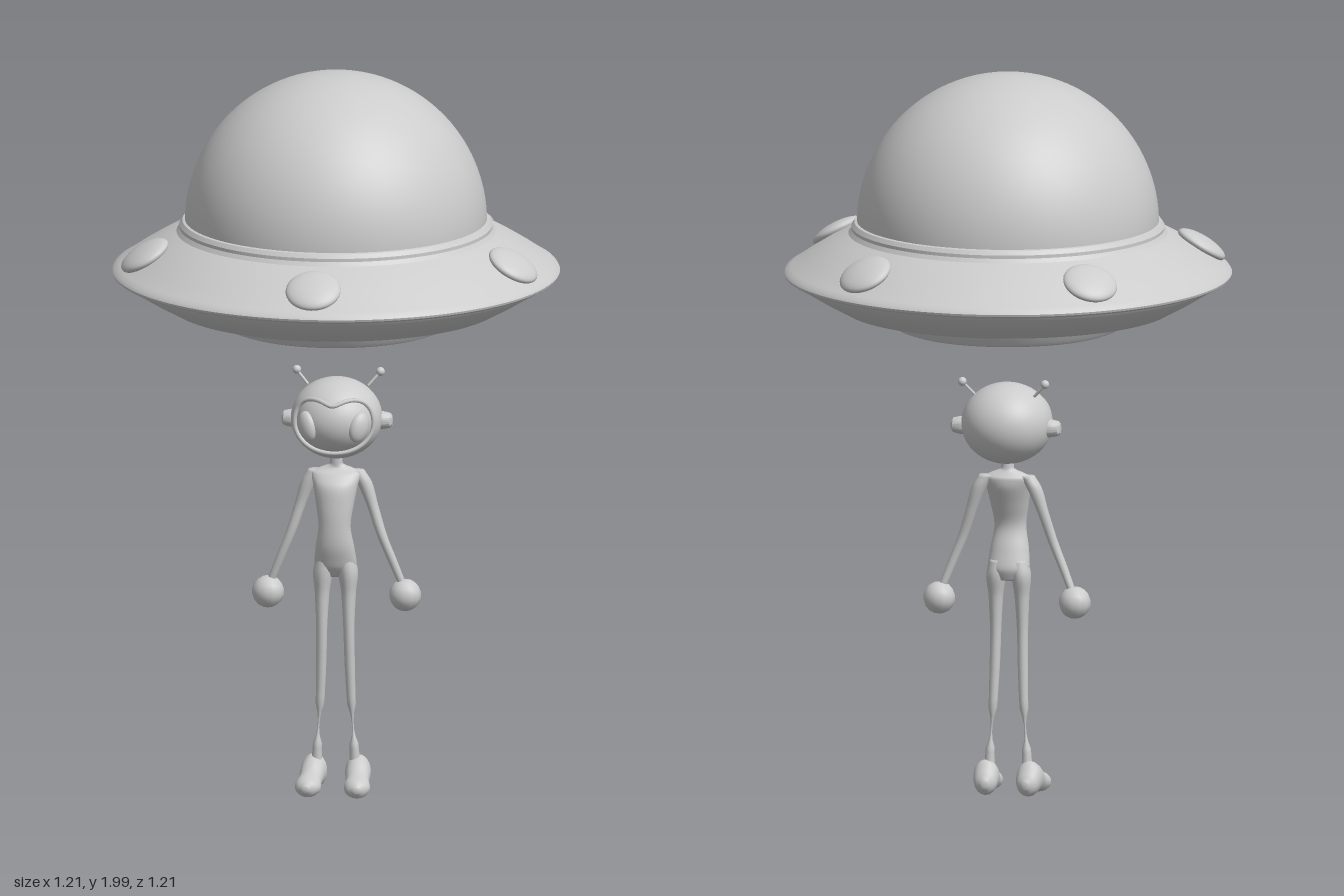
import * as THREE from 'three';
import { toCreasedNormals } from 'three/addons/utils/BufferGeometryUtils.js';

const grey = new THREE.MeshStandardMaterial({ color: 0xcccccc, side: THREE.DoubleSide });

function add(parent, name, geometry, x = 0, y = 0, z = 0) {
  const mesh = new THREE.Mesh(geometry, grey);
  mesh.name = name;
  mesh.position.set(x, y, z);
  parent.add(mesh);
  return mesh;
}

function lathe(points, segments = 96) {
  const profile = points.map(([r, y]) => new THREE.Vector2(r, y));
  return toCreasedNormals(new THREE.LatheGeometry(profile, segments), 0.5);
}

// Smooth skin over horizontal oval rings [x, y, z, halfWidth, halfDepth], listed upwards
function loft(rings, sides = 16, steps = 5) {
  const centres = new THREE.CatmullRomCurve3(rings.map(([x, y, z]) => new THREE.Vector3(x, y, z)));
  const radii = new THREE.CatmullRomCurve3(rings.map(r => new THREE.Vector3(r[3], r[4], 0)));
  const rows = (rings.length - 1) * steps;
  const pos = [], index = [];
  for (let i = 0; i <= rows; i++) {
    const c = centres.getPoint(i / rows), r = radii.getPoint(i / rows);
    for (let j = 0; j < sides; j++) {
      const a = j / sides * Math.PI * 2;
      pos.push(c.x + r.x * Math.sin(a), c.y, c.z + r.y * Math.cos(a));
      if (i === rows) continue;
      const p = i * sides + j, q = i * sides + (j + 1) % sides;
      index.push(p, q, q + sides, p, q + sides, p + sides);
    }
  }
  // End caps
  for (const [k, row] of [[0, 0], [rings.length - 1, rows]]) {
    const tip = pos.length / 3;
    pos.push(...rings[k].slice(0, 3));
    for (let j = 0; j < sides; j++) {
      const p = row * sides + j, q = row * sides + (j + 1) % sides;
      index.push(...(row ? [p, q, tip] : [q, p, tip]));
    }
  }
  const g = new THREE.BufferGeometry();
  g.setAttribute('position', new THREE.Float32BufferAttribute(pos, 3));
  g.setIndex(index);
  g.computeVertexNormals();
  return g;
}

function createSaucer() {
  const saucer = new THREE.Group();
  saucer.name = 'saucer';

  add(saucer, 'hull', lathe([
    [0, 1.305], [0.2, 1.305], [0.295, 1.305], [0.306, 1.309], [0.313, 1.318],
    [0.328, 1.347], [0.34, 1.355], [0.43, 1.355], [0.45, 1.359], [0.515, 1.395],
    [0.575, 1.432], [0.58, 1.44], [0.596, 1.443], [0.605, 1.449], [0.607, 1.455],
    [0.602, 1.463], [0.588, 1.471], [0.55, 1.497], [0.5, 1.528], [0.46, 1.55],
    [0.432, 1.563], [0.424, 1.574], [0.424, 1.583], [0.416, 1.594], [0.405, 1.597], [0, 1.597]]));
  add(saucer, 'dome', new THREE.SphereGeometry(0.409, 80, 32, 0, Math.PI * 2, 0, Math.PI / 2), 0, 1.591, 0);

  // Five oval lamps lying on the sloping deck
  for (let i = 0; i < 5; i++) {
    const turn = new THREE.Group();
    turn.name = 'lampMount';
    turn.rotation.y = i * Math.PI * 2 / 5;
    const lamp = add(turn, 'lamp', new THREE.SphereGeometry(1, 36, 18), 0, 1.518, 0.528);
    lamp.scale.set(0.075, 0.024, 0.073);
    lamp.rotation.x = 0.55;
    saucer.add(turn);
  }
  return saucer;
}

// Point of the helmet ellipsoid, its pole facing forwards
function helmetPoint(theta, phi, k = 1) {
  return new THREE.Vector3(
    0.124 * k * Math.sin(theta) * Math.cos(phi),
    0.111 * k * Math.sin(theta) * Math.sin(phi),
    0.125 * k * Math.cos(theta));
}

// Face opening: wide at the sides, low brow with a slight dip in the middle
function openingAngle(phi) {
  const s = Math.sin(phi), c = Math.cos(phi);
  const side = 1.08, end = s > 0 ? 0.52 : 0.86;
  return side * c * c + end * s * s + (s > 0 ? 0.16 * (s * c * 2) ** 2 : 0);
}

function createHead() {
  const head = new THREE.Group();
  head.name = 'head';
  head.position.set(0, 1.041, -0.014);

  // Helmet shell, from the face opening to the back
  const shell = new THREE.PlaneGeometry(1, 1, 48, 24);
  const p = shell.attributes.position;
  for (let i = 0; i < p.count; i++) {
    const phi = (p.getX(i) + 0.5) * Math.PI * 2, from = openingAngle(phi);
    const v = helmetPoint(from + (0.5 - p.getY(i)) * (Math.PI - from), phi);
    p.setXYZ(i, v.x, v.y, v.z);
  }
  shell.computeVertexNormals();
  // Exact ellipsoid normals hide the seam
  for (let i = 0; i < p.count; i++) {
    const n = new THREE.Vector3(p.getX(i) / 0.0154, p.getY(i) / 0.0123, p.getZ(i) / 0.0156).normalize();
    shell.attributes.normal.setXYZ(i, n.x, n.y, n.z);
  }
  add(head, 'helmet', shell);

  const edge = [];
  for (let i = 0; i < 40; i++) {
    const phi = i / 40 * Math.PI * 2;
    edge.push(helmetPoint(openingAngle(phi), phi, 0.985));
  }
  add(head, 'helmetRim', new THREE.TubeGeometry(new THREE.CatmullRomCurve3(edge, true), 80, 0.006, 8, true));
  add(head, 'face', new THREE.SphereGeometry(1, 32, 20)).scale.set(0.113, 0.1, 0.113);

  for (const s of [-1, 1]) {
    const eye = add(head, 'eye', new THREE.SphereGeometry(1, 24, 16), s * 0.07, -0.008, 0.083);
    eye.scale.set(0.029, 0.042, 0.02);
    eye.rotation.set(0, s * 0.7, -s * 0.3, 'YXZ');

    const ear = add(head, 'earpiece', lathe(
      [[0, 0.03], [0.014, 0.029], [0.02, 0.024], [0.023, 0.012], [0.025, 0], [0.025, -0.015]].reverse(), 24),
      s * 0.121, -0.008, -0.014);
    ear.rotation.z = -s * Math.PI / 2;

    const stalk = new THREE.LineCurve3(
      new THREE.Vector3(s * 0.082, 0.082, -0.035), new THREE.Vector3(s * 0.113, 0.117, -0.047));
    add(head, 'antenna', new THREE.TubeGeometry(stalk, 2, 0.004, 8));
    add(head, 'antennaTip', new THREE.SphereGeometry(0.012, 14, 10), s * 0.114, 0.119, -0.048);
  }
  return head;
}

function createFigure() {
  const figure = new THREE.Group();
  figure.name = 'alien';
  figure.add(createHead());

  add(figure, 'torso', loft([
    [0, 0.605, 0.004, 0.03, 0.02], [0, 0.64, 0.01, 0.058, 0.036], [0, 0.69, 0.024, 0.053, 0.037],
    [0, 0.75, 0.034, 0.044, 0.031], [0, 0.81, 0.024, 0.052, 0.039], [0, 0.86, 0.01, 0.061, 0.045],
    [0, 0.89, -0.004, 0.067, 0.034], [0, 0.903, -0.008, 0.045, 0.02],
    [0, 0.915, -0.006, 0.018, 0.016], [0, 0.95, -0.004, 0.016, 0.016]], 24));

  for (const s of [-1, 1]) {
    add(figure, 'arm', loft([
      [s * 0.182, 0.575, -0.014, 0.011, 0.011], [s * 0.152, 0.65, -0.008, 0.013, 0.012],
      [s * 0.124, 0.72, -0.006, 0.014, 0.013], [s * 0.098, 0.8, -0.012, 0.016, 0.016],
      [s * 0.075, 0.865, -0.014, 0.021, 0.021], [s * 0.056, 0.897, -0.013, 0.02, 0.018]], 12));
    add(figure, 'hand', new THREE.SphereGeometry(0.044, 12, 9), s * 0.187, 0.552, -0.014);

    add(figure, 'leg', loft([
      [s * 0.052, 0.08, 0.004, 0.015, 0.016], [s * 0.05, 0.14, 0.006, 0.012, 0.013],
      [s * 0.043, 0.25, 0.006, 0.012, 0.013], [s * 0.039, 0.36, 0.012, 0.014, 0.015],
      [s * 0.037, 0.46, 0.016, 0.015, 0.018], [s * 0.036, 0.56, 0.013, 0.02, 0.024],
      [s * 0.034, 0.62, 0.01, 0.027, 0.034], [s * 0.028, 0.66, 0.012, 0.024, 0.03]], 14));

    // Shoe: the loft runs heel to toe, then is laid forwards
    const foot = loft([
      [0, -0.05, -0.046, 0.008, 0.01], [0, -0.036, -0.048, 0.027, 0.03], [0, -0.008, -0.06, 0.035, 0.048],
      [0, 0.025, -0.057, 0.034, 0.041], [0, 0.055, -0.044, 0.032, 0.031], [0, 0.085, -0.036, 0.036, 0.029],
      [0, 0.108, -0.034, 0.028, 0.023], [0, 0.121, -0.034, 0.008, 0.008]], 18);
    foot.rotateX(Math.PI / 2);
    const shoe = add(figure, 'shoe', foot, s * 0.06, 0, 0);
    shoe.rotation.y = s * 0.08;
  }
  return figure;
}

export function createModel() {
  const model = new THREE.Group();
  model.name = 'saucerAndAlien';
  model.add(createSaucer(), createFigure());
  return model;
}
